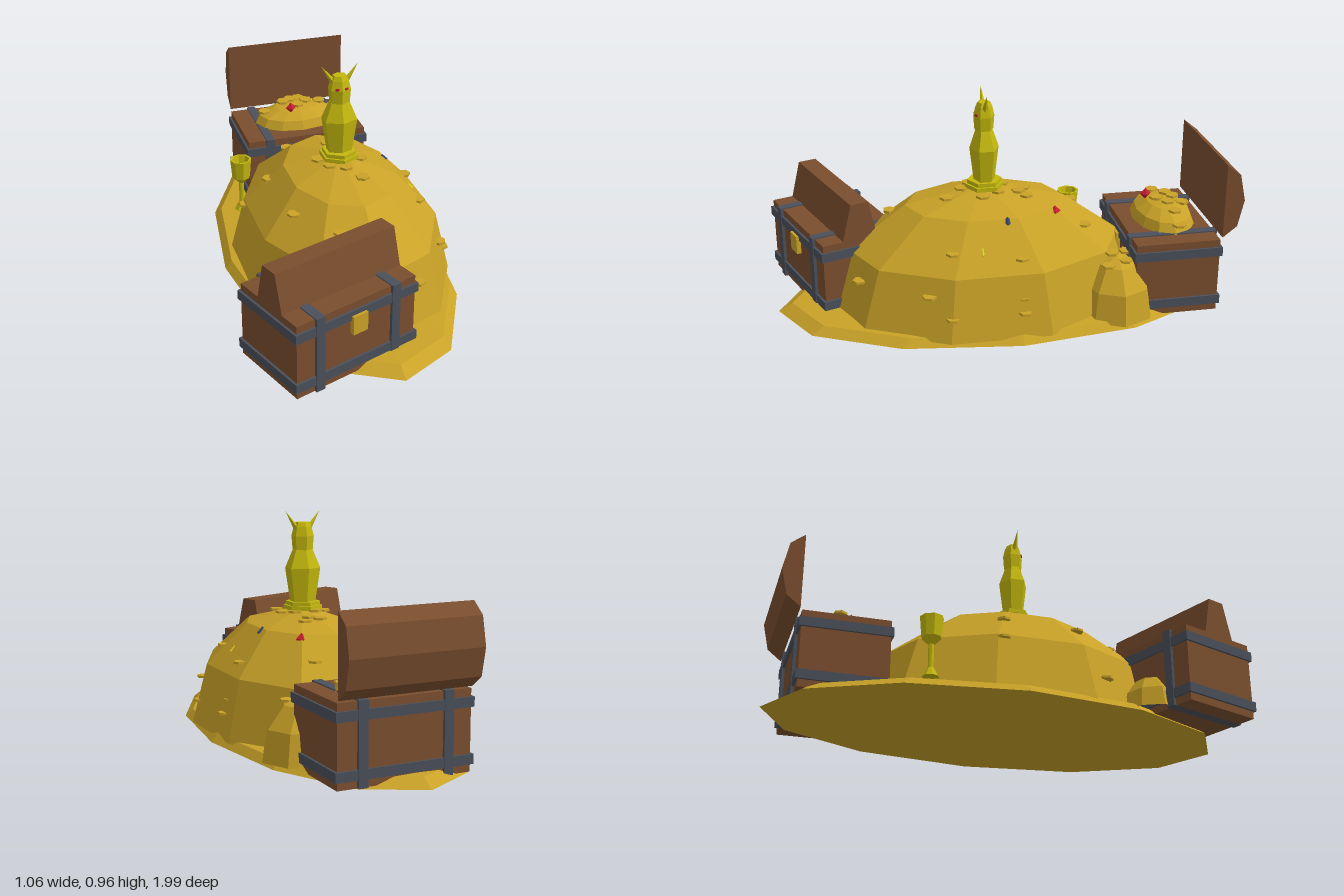
import * as THREE from 'three';

const mat = (name, color) => {
  const m = new THREE.MeshStandardMaterial({ color, flatShading: true });
  m.name = name;
  return m;
};

export function createModel() {
  const gold = mat('gold', 0xc9a227);
  const idolGold = mat('yellow gold', 0xc4b80e);
  const wood = mat('wood', 0x7a4e2e);
  const iron = mat('iron', 0x4a505a);
  const ruby = mat('ruby', 0xc81e32);
  const sapphire = mat('sapphire', 0x33456e);
  const citrine = mat('citrine', 0xd8d020);

  const model = new THREE.Group();
  const add = (parent, name, geo, material, x = 0, y = 0, z = 0) => {
    const m = new THREE.Mesh(geo, material);
    m.name = name;
    m.position.set(x, y, z);
    parent.add(m);
    return m;
  };
  const lathe = (pts, sides) => new THREE.LatheGeometry(pts.map(p => new THREE.Vector2(...p)), sides);
  const box = (w, h, d) => new THREE.BoxGeometry(w, h, d);

  // Rounded heap in 30 degree steps
  const domeProfile = [[1, 0], [0.866, 0.5], [0.5, 0.85], [0, 1]];
  const dome = (parent, name, x, y, z, rx, h, rz, sides = 10) => {
    const m = add(parent, name, lathe(domeProfile, sides), gold, x, y, z);
    m.scale.set(rx, h, rz);
    return m;
  };

  // Gold spread and heaps
  const spread = add(model, 'goldSpread',
    lathe([[0, 0], [1, 0], [0.94, 0.035], [0.6, 0.05], [0, 0.052]], 12), gold, 0.045, 0, -0.005);
  spread.scale.set(0.485, 1, 0.99);
  const M = { x: 0.06, y: 0.02, z: 0.08, rx: 0.465, h: 0.525, rz: 0.69 };
  dome(model, 'mainMound', M.x, M.y, M.z, M.rx, M.h, M.rz);
  dome(model, 'backMound', 0.3, 0.02, -0.45, 0.19, 0.26, 0.17, 8);
  dome(model, 'frontMound', -0.28, 0.02, 0.57, 0.14, 0.17, 0.12, 8);

  // Height of the main mound at a point
  const moundY = (x, z) => {
    const r = Math.hypot((x - M.x) / (M.rx * 0.97), (z - M.z) / (M.rz * 0.97));
    for (let i = domeProfile.length - 1; i > 0; i--) {
      const [r0, y0] = domeProfile[i], [r1, y1] = domeProfile[i - 1];
      if (r <= r1) return M.y + M.h * (y0 + (y1 - y0) * (r - r0) / (r1 - r0));
    }
    return 0.05;
  };

  // Loose coins
  const coinGeo = new THREE.CylinderGeometry(0.03, 0.03, 0.01, 6);
  const coin = (parent, x, y, z, turn) => {
    add(parent, 'coin', coinGeo, gold, x, y, z).rotation.y = turn;
  };
  [[0.06, -0.09], [0.1, -0.06], [0.13, -0.09], [0.04, 0], [-0.03, 0.06], [0.12, 0.03], [0.11, 0.25],
    [0.06, 0.18], [0.0, 0.14], [0.15, 0.1], [-0.06, -0.33], [-0.22, -0.05], [-0.32, -0.08],
    [-0.32, 0.36], [-0.06, 0.48], [0.22, 0.64], [0.42, 0.37], [0.4, -0.02], [0.36, 0.26],
    [0.2, -0.33], [-0.2, 0.28]].forEach(([x, z], i) => coin(model, x, moundY(x, z) + 0.006, z, i * 0.7));
  [[0.475, 0.125, -0.02], [0.445, 0.18, -0.02], [0.47, 0.12, 0.28], [0.3, 0.28, -0.43],
    [0.36, 0.25, -0.4], [0.34, 0.26, -0.48], [0.27, 0.27, -0.5]]
    .forEach(([x, y, z], i) => coin(model, x, y, z, i));

  // Gems
  const gemGeo = new THREE.OctahedronGeometry(0.026);
  add(model, 'rubyGem', gemGeo, ruby, 0.2, 0.45, -0.2);
  add(model, 'sapphireGem', gemGeo, sapphire, 0.28, 0.45, 0.02);
  add(model, 'citrineGem', gemGeo, citrine, 0.36, 0.355, 0.14);

  // Horned idol
  const idol = new THREE.Group();
  idol.name = 'idol';
  idol.position.set(0.06, 0, 0.08);
  model.add(idol);
  add(idol, 'pedestal', lathe([[0, 0.53], [0.085, 0.53], [0.085, 0.548], [0.075, 0.548],
    [0.075, 0.565], [0, 0.565]], 6), idolGold);
  add(idol, 'idolBody', lathe([[0.058, 0.56], [0.081, 0.71], [0.046, 0.79], [0, 0.79]], 6), idolGold).scale.z = 0.78;
  add(idol, 'idolHead', lathe([[0, 0.79], [0.045, 0.79], [0.05, 0.85], [0.04, 0.89],
    [0.03, 0.91], [0, 0.91]], 6), idolGold).scale.z = 0.9;
  for (const s of [-1, 1]) {
    const horn = add(idol, 'horn', new THREE.ConeGeometry(0.013, 0.09, 4), idolGold, s * 0.055, 0.92, 0);
    horn.rotation.z = -s * 0.6;
    add(idol, 'eye', box(0.016, 0.009, 0.009), ruby, s * 0.02, 0.857, 0.033).rotation.y = s * 0.5;
  }

  // Goblet
  add(model, 'goblet', lathe([[0, 0.08], [0.035, 0.08], [0.012, 0.12], [0.012, 0.22], [0.042, 0.25],
    [0.05, 0.34], [0.04, 0.34], [0.03, 0.27], [0, 0.26]], 8), idolGold, -0.27, 0, -0.37);

  // Prism along x from a [z, y] outline
  const W = 0.575, D = 0.365;
  const prism = (pts) => {
    const shape = new THREE.Shape(pts.map(([z, y]) => new THREE.Vector2(-z, y)));
    return new THREE.ExtrudeGeometry(shape, { depth: W, bevelEnabled: false })
      .translate(0, 0, -W / 2).rotateY(Math.PI / 2);
  };

  // Iron-bound chest
  const chest = (name, x, z, turn, lidOutline) => {
    const g = new THREE.Group();
    g.name = name;
    g.position.set(x, 0, z);
    g.rotation.y = turn;
    model.add(g);
    add(g, 'chestBody', box(W, 0.33, D), wood, 0, 0.175, 0);
    for (const y of [0.062, 0.288]) add(g, 'ironBand', box(W + 0.02, 0.04, D + 0.02), iron, 0, y, 0);
    for (const s of [-1, 1]) add(g, 'ironStrap', box(0.04, 0.335, D + 0.026), iron, s * 0.184, 0.1775, 0);
    add(g, 'clasp', box(0.07, 0.082, 0.02), gold, 0, 0.247, D / 2 + 0.012);
    add(g, 'lid', prism(lidOutline), wood);
    return g;
  };

  chest('closedChest', -0.185, 0.71, 0.35, [[0.09, 0.34], [0.048, 0.5], [-0.032, 0.5], [-0.068, 0.34]]);

  // Open chest with its lid standing behind
  const lidArc = [0, 1, 2, 3, 4].map(i => {
    const a = i * Math.PI / 4;
    return [-0.19 - 0.086 * Math.sin(a), 0.515 + 0.165 * Math.cos(a)];
  });
  const open = chest('openChest', 0.095, -0.7, 0, lidArc);
  dome(open, 'chestGold', 0, 0.335, -0.01, 0.21, 0.095, 0.135, 12);
  [[0.05, -0.02], [0.0, 0.02], [0.03, -0.09], [-0.06, -0.04], [0.12, -0.03], [0.19, -0.03],
    [-0.16, -0.01], [-0.02, -0.06]].forEach(([x, z], i) => {
    const r2 = (x / 0.21) ** 2 + ((z + 0.01) / 0.135) ** 2;
    coin(open, x, 0.34 + 0.095 * Math.sqrt(Math.max(0, 1 - r2)), z, i * 0.8);
  });
  add(open, 'rubyGem', gemGeo, ruby, -0.045, 0.435, 0.055);

  return model;
}
